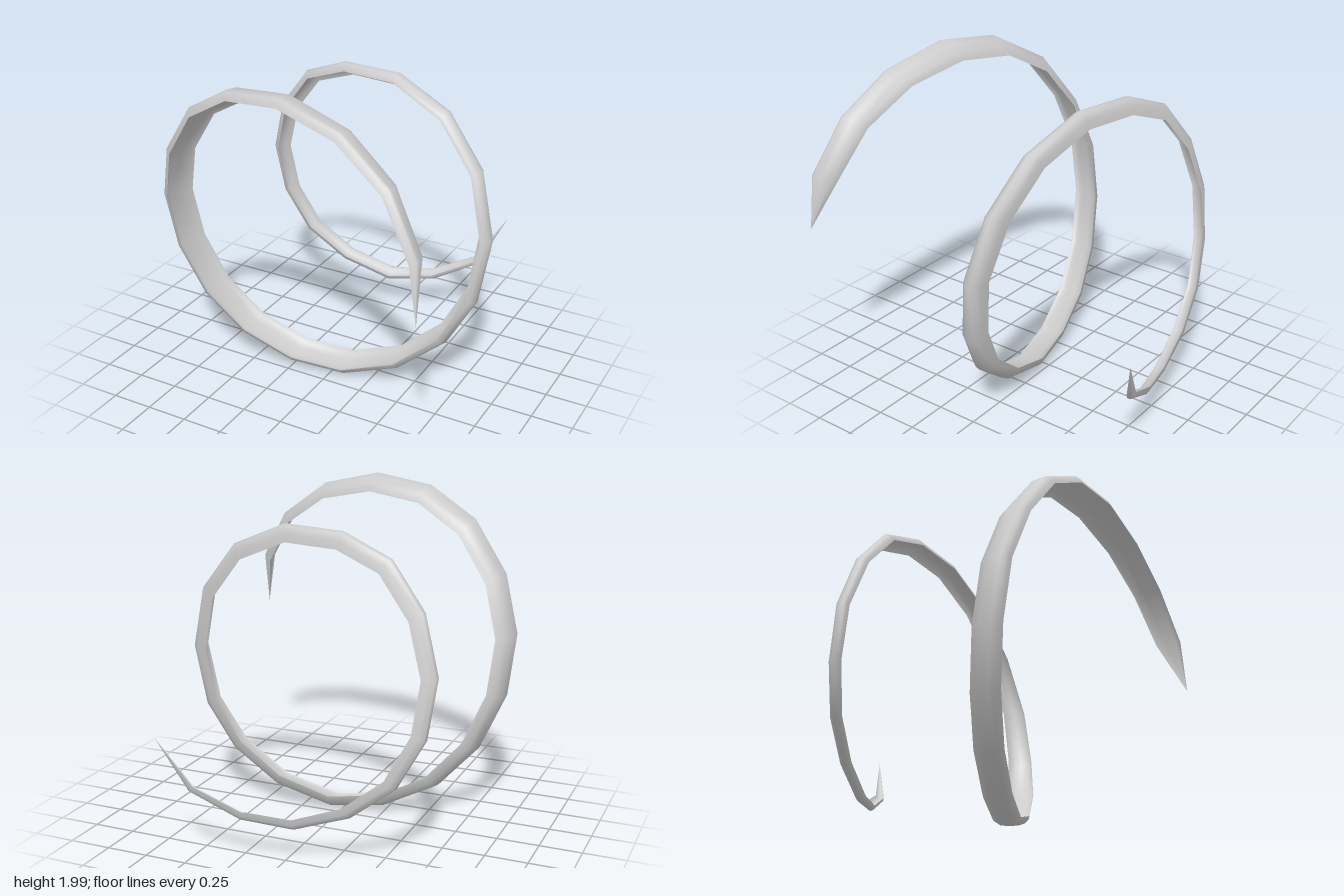
import * as THREE from 'three';

// Outer line of the coil, front tip to back tip: x, y pairs
const PATH = [
  0.955, 1.04, 0.94, 1.38, 0.75, 1.69, 0.44, 1.90, 0.05, 1.99, -0.33, 1.94, -0.64, 1.76, -0.86, 1.46,
  -0.96, 1.12, -0.93, 0.76, -0.79, 0.43, -0.56, 0.18, -0.25, 0.03, 0.08, 0.0, 0.42, 0.11, 0.69, 0.33,
  0.85, 0.62, 0.90, 1.0, 0.79, 1.38, 0.54, 1.67, 0.18, 1.82, -0.20, 1.81, -0.50, 1.69, -0.71, 1.43,
  -0.81, 1.10, -0.77, 0.77, -0.62, 0.49, -0.37, 0.30, -0.06, 0.20, 0.23, 0.24, 0.51, 0.39, 0.66, 0.71,
];

// Station, z of the centre, half width in z, radial depth, forward lean of the crest
const KEYS = [
  [0, 1.0, 0, 0, 0.5],
  [1, 0.915, 0.075, 0.08, 0.55],
  [4, 0.685, 0.1, 0.1, 0.55],
  [8, 0.39, 0.095, 0.095, 0.5],
  [13, 0.085, 0.09, 0.09, 0.3],
  [17, -0.12, 0.062, 0.105, -0.1],
  [20.5, -0.37, 0.052, 0.1, 0],
  [24, -0.565, 0.043, 0.085, 0],
  [28, -0.765, 0.036, 0.07, 0.2],
  [30, -0.905, 0.024, 0.05, 0],
  [31, -1.0, 0, 0, 0],
];

// Depth of the front rim as a share of the back rim's: slants the ribbon
const FRONT_RIM = 0.5;

function sample(i) {
  let k = 0;
  while (k < KEYS.length - 2 && KEYS[k + 1][0] < i) k++;
  const a = KEYS[k], b = KEYS[k + 1];
  const t = (i - a[0]) / (b[0] - a[0]);
  return a.map((v, n) => v + (b[n] - v) * t);
}

// Sweeps an arc of the given height (share of the depth) along the coil
function sweep(height, outward) {
  const cols = 6, rows = PATH.length / 2;
  const pos = [], index = [];
  for (let i = 0; i < rows; i++) {
    const [, z, half, depth, lean] = sample(i);
    const x = PATH[2 * i], y = PATH[2 * i + 1];
    const r = Math.hypot(x, y - 1);
    for (let j = 0; j <= cols; j++) {
      const a = (j / cols) * Math.PI;
      const rim = 1 - (1 - FRONT_RIM) * (1 + Math.cos(a)) / 2;
      const drop = depth * rim * (1 - Math.sin(a) * height);
      const u = Math.cos(a) + lean * Math.sin(a) * (1 - Math.abs(Math.cos(a)));
      const s = (r - drop) / r;
      pos.push(x * s, 1 + (y - 1) * s, z + half * u);
      if (i < rows - 1 && j < cols) {
        const p = i * (cols + 1) + j, q = p + cols + 1;
        if (outward) index.push(p, p + 1, q, q, p + 1, q + 1);
        else index.push(p, q, p + 1, q, q + 1, p + 1);
      }
    }
  }
  const g = new THREE.BufferGeometry();
  g.setAttribute('position', new THREE.Float32BufferAttribute(pos, 3));
  g.setIndex(index);
  g.computeVertexNormals();
  return g;
}

export function createModel() {
  const group = new THREE.Group();
  group.name = 'spiralRibbon';
  const material = new THREE.MeshStandardMaterial({ color: 0xcccccc, side: THREE.DoubleSide });

  // Rounded outside of the ribbon
  const outer = new THREE.Mesh(sweep(1, true), material);
  outer.name = 'outerSurface';
  group.add(outer);

  // Hollow inside of the ribbon
  const inner = new THREE.Mesh(sweep(0.45, false), material);
  inner.name = 'innerGroove';
  group.add(inner);

  return group;
}
